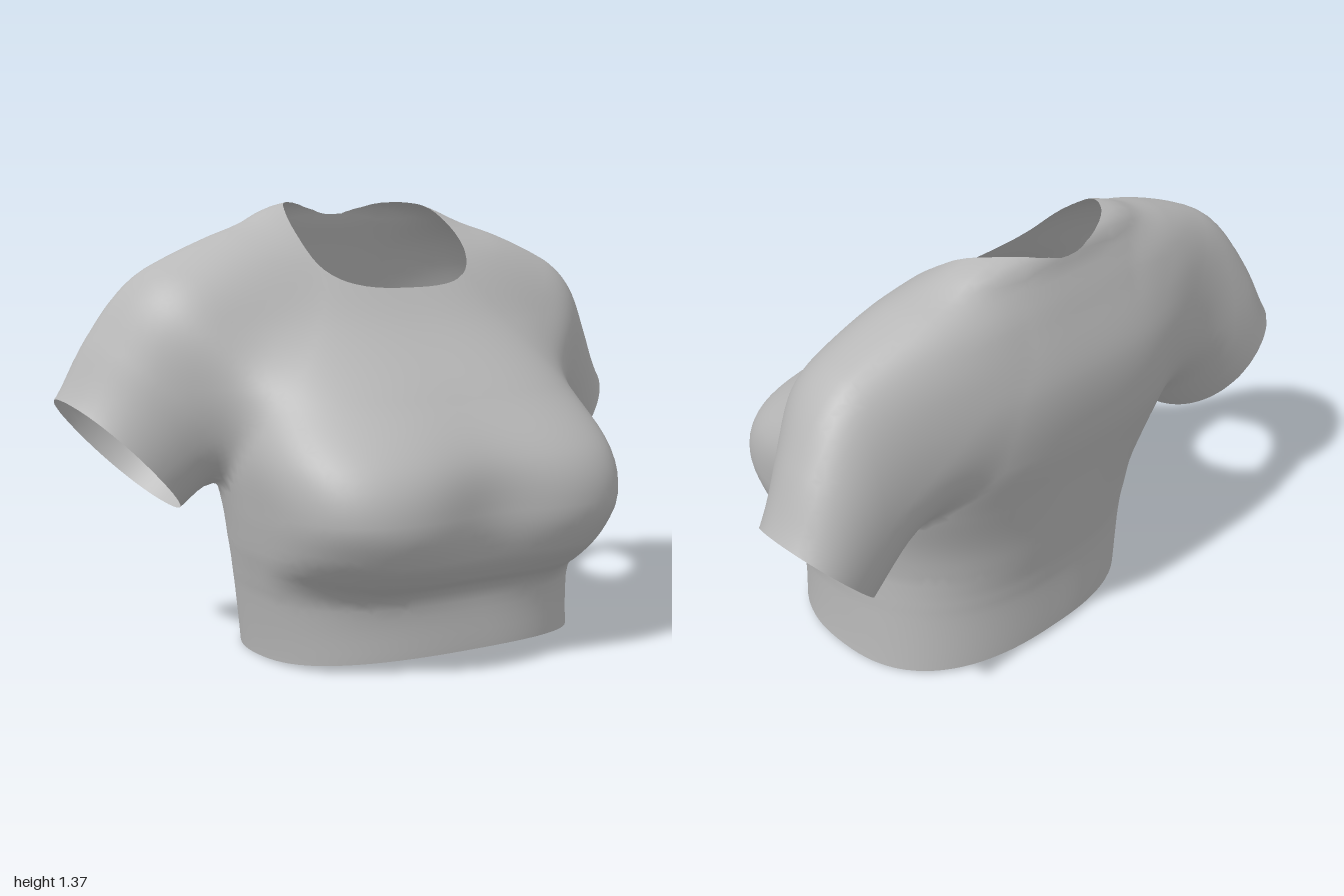
import * as THREE from 'three';
import { mergeVertices } from 'three/addons/utils/BufferGeometryUtils.js';

const { smoothstep, clamp } = THREE.MathUtils;

// Torso sections: y, half width, middle z, front z, back z, front roundness
const TORSO = [
  [-0.1, 0.525, -0.02, 0.39, -0.44, 2.5],
  [0.03, 0.525, -0.02, 0.39, -0.44, 2.5],
  [0.19, 0.535, 0, 0.385, -0.435, 2.6],
  [0.24, 0.542, 0.02, 0.41, -0.438, 2.8],
  [0.28, 0.548, 0.04, 0.47, -0.442, 3],
  [0.35, 0.56, 0.08, 0.54, -0.455, 3.2],
  [0.47, 0.58, 0.1, 0.577, -0.475, 3.4],
  [0.62, 0.595, 0.05, 0.53, -0.505, 3.2],
  [0.8, 0.575, -0.08, 0.345, -0.545, 2.8],
  [1.0, 0.55, -0.2, 0.13, -0.545, 2.6],
  [1.2, 0.5, -0.26, -0.037, -0.48, 2.5],
  [1.3, 0.392, -0.3, -0.14, -0.44, 2.3],
  [1.355, 0.285, -0.31, -0.21, -0.42, 2.2],
  [1.395, 0.1, -0.32, -0.28, -0.37, 2.2],
];

// Sleeve sections: distance in from the cuff, then upper, lower, front and back radius
const SLEEVE = [
  [-0.1, 0.22, 0.22, 0.2, 0.2],
  [0, 0.22, 0.22, 0.2, 0.2],
  [0.19, 0.293, 0.215, 0.26, 0.195],
  [0.35, 0.335, 0.2, 0.295, 0.185],
  [0.48, 0.324, 0.19, 0.27, 0.175],
  [0.68, 0.232, 0.18, 0.2, 0.155],
  [0.82, 0.13, 0.15, 0.14, 0.13],
  [1.0, 0.03, 0.03, 0.03, 0.03],
];

// Smooth interpolation through a table of sections
function sample(rows, t) {
  const last = rows.length - 1;
  if (t <= rows[0][0]) return rows[0];
  if (t >= rows[last][0]) return rows[last];
  let i = 0;
  while (rows[i + 1][0] < t) i++;
  const a = rows[i], b = rows[i + 1];
  const p = rows[Math.max(i - 1, 0)], q = rows[Math.min(i + 2, last)];
  const h = b[0] - a[0], s = (t - a[0]) / h, s2 = s * s, s3 = s2 * s;
  return a.map((v, c) => {
    const ma = (b[c] - p[c]) / (b[0] - p[0]) * h;
    const mb = (q[c] - a[c]) / (q[0] - a[0]) * h;
    return (2 * s3 - 3 * s2 + 1) * v + (s3 - 2 * s2 + s) * ma + (3 * s2 - 2 * s3) * b[c] + (s3 - s2) * mb;
  });
}

const oval = (a, b, n) => Math.pow(Math.pow(Math.abs(a), n) + Math.pow(Math.abs(b), n), 1 / n);

function torsoField(x, y, z) {
  const [, w, mid, , back] = sample(TORSO, y);
  x -= 0.03 * Math.max(0, 1 - y / 0.35);
  if (z <= mid) {
    const n = 2.5 + 0.8 * smoothstep(y, 0.4, 0.9) - 0.9 * smoothstep(y, 1.1, 1.35);
    return (oval(x / w, (z - mid) / (mid - back), n) - 1) * 0.4;
  }
  // The fold under the bust rises towards the sides, with a soft dip in the middle
  const rise = 0.04 * smoothstep(Math.abs(x), 0.3, 0.58) * (1 - smoothstep(y, 0.33, 0.6)) * smoothstep(y, 0.1, 0.2);
  const [, , , front, , n] = sample(TORSO, y - rise);
  const dip = 0.057 * Math.exp(-((x / 0.21) ** 2) - ((y - 0.49) / 0.2) ** 2);
  return (oval(x / w, (z - mid) / (front - dip - mid), n) - 1) * 0.4;
}

// Distance from the cuff plane, positive towards the shoulder
const cuffDistance = (x, y) => -((Math.abs(x) - 0.84) * 0.73 - (y - 0.62) * 0.68);

// The cuff leans lower at the front than at the back
function sleeveField(x, y, z) {
  const t = cuffDistance(x, y), dz = z + 0.28;
  const lean = 0.3 * dz * (1 - smoothstep(t, 0.08, 0.5));
  const up = (Math.abs(x) - 0.84) * 0.68 + (y - 0.62) * 0.73 + lean;
  const [, ru, rl, rf, rb] = sample(SLEEVE, t);
  return (oval(up / (up > 0 ? ru : rl), dz / (dz > 0 ? rf : rb), 2.15) - 1) * 0.24;
}

// Torso and sleeves blended into one cloth surface, tight at the armpit and soft above
function field(x, y, z) {
  const a = torsoField(x, y, z), b = sleeveField(x, y, z);
  const k = 0.05 + 0.11 * smoothstep(y, 0.5, 0.82);
  const h = Math.max(k - Math.abs(a - b), 0) / k;
  return Math.min(a, b) - h * h * k / 4;
}

function gradient([x, y, z]) {
  const e = 0.004;
  return [
    (field(x + e, y, z) - field(x - e, y, z)) / (2 * e),
    (field(x, y + e, z) - field(x, y - e, z)) / (2 * e),
    (field(x, y, z + e) - field(x, y, z - e)) / (2 * e),
  ];
}

// Openings (hem, cuffs, neck): cloth is kept where each is positive
const OPENINGS = [
  ([x, y, z]) => y - 0.04 * ((z + 0.12) / 0.5) ** 2,
  ([x, y]) => Math.max(cuffDistance(x, y), 0.645 - Math.abs(x)),
  ([x, y, z]) => {
    const dx = (x - 0.005) / 0.295, dz = z + 0.13;
    const r = dz > 0 ? oval(dx, dz / 0.167, 2.7) : oval(dx, dz / 0.302, 2.2);
    return Math.max(r - 1, 0.9 - y);
  },
];

function clip(poly, keep) {
  const out = [];
  poly.forEach((a, i) => {
    const b = poly[(i + 1) % poly.length], ga = keep(a), gb = keep(b);
    if (ga >= 0) out.push(a);
    if (ga >= 0 !== gb >= 0) out.push(a.map((v, c) => v + (b[c] - v) * ga / (ga - gb)));
  });
  return out;
}

// Quads wrapping the zero surface of the field, one vertex per crossed grid cell
function wrapSurface() {
  const h = 0.032, lo = [-1.12, -0.08, -0.656], n = [71, 49, 42];
  const stride = [1, n[0], n[0] * n[1]];
  const values = new Float32Array(n[0] * n[1] * n[2]);
  const each = (fn) => {
    for (let k = 0; k < n[2]; k++)
      for (let j = 0; j < n[1]; j++)
        for (let i = 0; i < n[0]; i++) fn([i, j, k], i + j * stride[1] + k * stride[2]);
  };
  each((g, id) => { values[id] = field(...g.map((v, c) => lo[c] + v * h)); });

  const verts = new Map(), quads = [];
  each((g, id) => {
    if (g.some((v, c) => v >= n[c] - 1)) return;
    let count = 0;
    const sum = [0, 0, 0];
    for (let corner = 0; corner < 8; corner++) {
      const bits = [corner & 1, (corner >> 1) & 1, corner >> 2];
      const from = id + bits[0] + bits[1] * stride[1] + bits[2] * stride[2];
      for (let c = 0; c < 3; c++) {
        if (bits[c]) continue;
        const va = values[from], vb = values[from + stride[c]];
        if (va < 0 === vb < 0) continue;
        count++;
        for (let d = 0; d < 3; d++) sum[d] += bits[d] + (d === c ? va / (va - vb) : 0);
      }
    }
    if (!count) return;
    let p = g.map((v, c) => lo[c] + (v + sum[c] / count) * h);
    for (let step = 0; step < 3; step++) {
      const d = gradient(p), f = field(...p), len = d[0] ** 2 + d[1] ** 2 + d[2] ** 2 + 1e-6;
      p = p.map((v, c) => v - clamp(f * d[c] / len, -0.01, 0.01));
    }
    verts.set(id, p);
  });
  each((g, id) => {
    for (let c = 0; c < 3; c++) {
      if (g[c] >= n[c] - 1 || values[id] < 0 === values[id + stride[c]] < 0) continue;
      const u = (c + 1) % 3, v = (c + 2) % 3;
      if (!g[u] || !g[v]) continue;
      const quad = [id - stride[u] - stride[v], id - stride[v], id, id - stride[u]].map((q) => verts.get(q));
      if (quad.every(Boolean)) quads.push(values[id] < 0 ? quad : quad.reverse());
    }
  });
  return quads;
}

export function createModel() {
  const cloth = new THREE.MeshStandardMaterial({ color: 0xb8b8b8, side: THREE.DoubleSide });
  cloth.name = 'grey cloth';
  const parts = { bodice: [], leftSleeve: [], rightSleeve: [] };

  // Cut the neck, hem and cuffs, then sort the cloth into its parts
  for (const [a, b, c, d] of wrapSurface()) {
    for (const triangle of [[a, b, c], [a, c, d]]) {
      const poly = OPENINGS.reduce((p, keep) => clip(p, keep), triangle);
      for (let i = 2; i < poly.length; i++) {
        const tri = [poly[0], poly[i - 1], poly[i]];
        const x = (tri[0][0] + tri[1][0] + tri[2][0]) / 3;
        parts[x > 0.61 ? 'leftSleeve' : x < -0.61 ? 'rightSleeve' : 'bodice'].push(...tri);
      }
    }
  }

  const group = new THREE.Group();
  group.name = 'croppedTop';
  for (const [name, points] of Object.entries(parts)) {
    const normals = points.map((p) => new THREE.Vector3(...gradient(p)).normalize().toArray());
    const geometry = new THREE.BufferGeometry();
    geometry.setAttribute('position', new THREE.Float32BufferAttribute(points.flat(), 3));
    geometry.setAttribute('normal', new THREE.Float32BufferAttribute(normals.flat(), 3));
    const mesh = new THREE.Mesh(mergeVertices(geometry, 1e-5), cloth);
    mesh.name = name;
    group.add(mesh);
  }
  return group;
}
